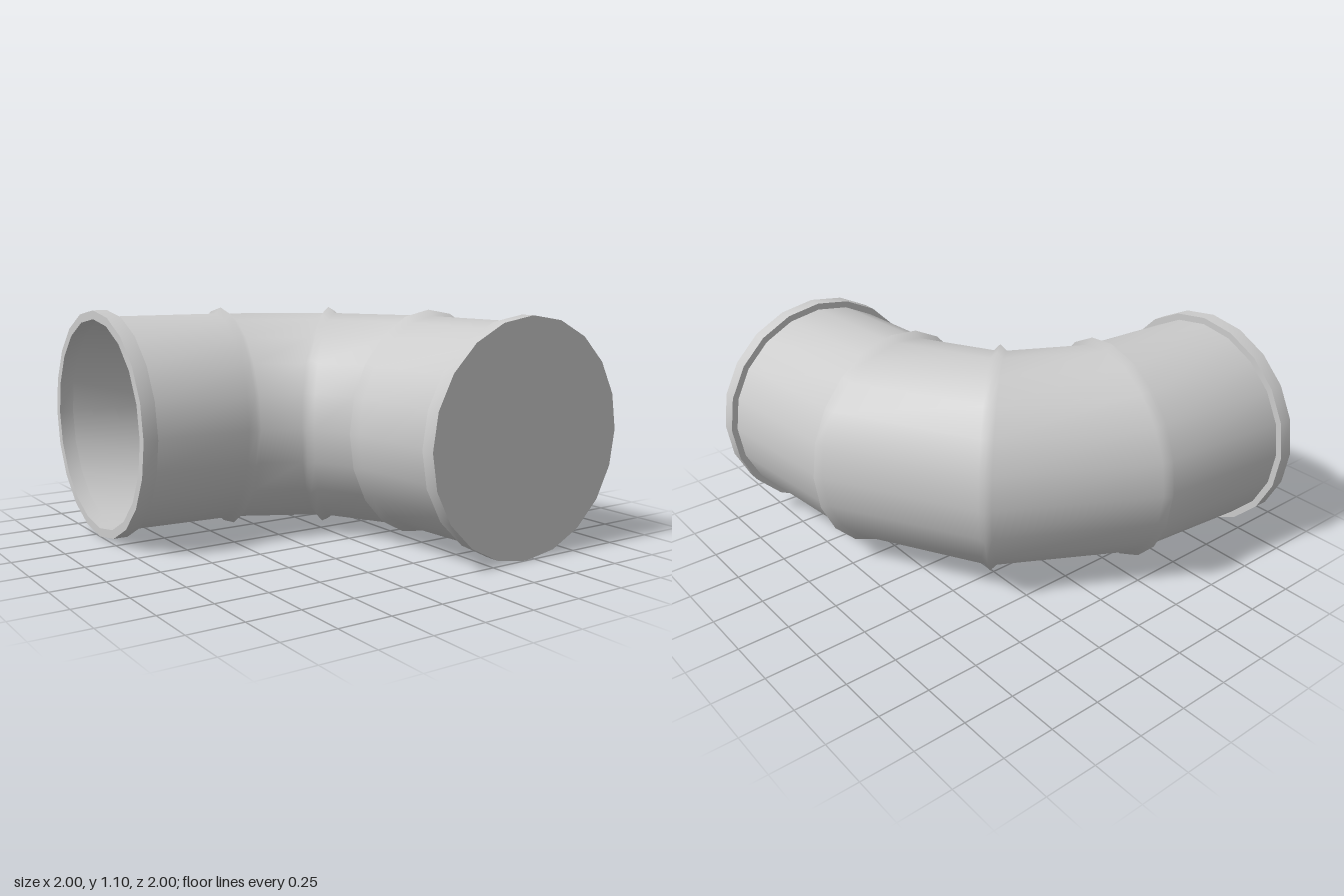
import * as THREE from 'three';
import { toCreasedNormals } from 'three/addons/utils/BufferGeometryUtils.js';

const SIDES = 20;
const AXIS_Y = 0.553;
const material = new THREE.MeshStandardMaterial({ color: 0xcccccc, side: THREE.DoubleSide });

// Skin over upright elliptical sections; turn is the bend angle in degrees
function loft(sections) {
  const positions = [], index = [];
  sections.forEach(({ x, z, turn, width, height }, s) => {
    const a = THREE.MathUtils.degToRad(turn);
    for (let i = 0; i < SIDES; i++) {
      const t = (i / SIDES) * Math.PI * 2, w = width * Math.cos(t);
      positions.push(x + Math.sin(a) * w, AXIS_Y + height * Math.sin(t), z - Math.cos(a) * w);
      if (s === sections.length - 1) continue;
      const p = s * SIDES + i, q = s * SIDES + (i + 1) % SIDES;
      index.push(p, q, p + SIDES, q, q + SIDES, p + SIDES);
    }
  });
  const geometry = new THREE.BufferGeometry();
  geometry.setAttribute('position', new THREE.Float32BufferAttribute(positions, 3));
  geometry.setIndex(index);
  geometry.computeVertexNormals();
  return geometry;
}

// Thin raised bead where two pipe segments meet
function seam(x, z, turn, width) {
  const a = THREE.MathUtils.degToRad(turn);
  return [-1, 0, 1].map((k) => ({
    x: x + Math.cos(a) * 0.03 * k,
    z: z + Math.sin(a) * 0.03 * k,
    turn,
    width: width + (k ? 0 : 0.026),
    height: k ? 0.52 : 0.55,
  }));
}

// Flange turned around y from a radius/height profile
function flange(name, profile) {
  const points = profile.map(([r, y]) => new THREE.Vector2(r, y));
  const mesh = new THREE.Mesh(toCreasedNormals(new THREE.LatheGeometry(points, SIDES), 0.6), material);
  mesh.name = name;
  return mesh;
}

export function createModel() {
  const model = new THREE.Group();
  model.name = 'pipeElbow';

  // Four straight segments joined by three beaded mitre seams
  const pipe = new THREE.Mesh(loft([
    { x: -0.94, z: -0.45, turn: 0, width: 0.52, height: 0.52 },
    ...seam(-0.345, -0.395, 10.6, 0.512),
    ...seam(0.133, -0.133, 45, 0.5),
    ...seam(0.395, 0.345, 79.4, 0.512),
    { x: 0.45, z: 0.94, turn: 90, width: 0.52, height: 0.52 },
  ]), material);
  pipe.name = 'elbowPipe';
  model.add(pipe);

  // Open flange on the side end
  const open = flange('openFlange', [[0.51, 0], [0.552, 0], [0.552, 0.07], [0.51, 0.07], [0.51, 0]]);
  open.rotation.z = Math.PI / 2;
  open.position.set(-0.93, AXIS_Y, -0.448);
  model.add(open);

  // Flange closed by a flat cap on the front end
  const closed = flange('cappedFlange', [[0.51, 0], [0.552, 0], [0.552, 0.07], [0, 0.07]]);
  closed.rotation.x = Math.PI / 2;
  closed.position.set(0.448, AXIS_Y, 0.93);
  model.add(closed);

  return model;
}
